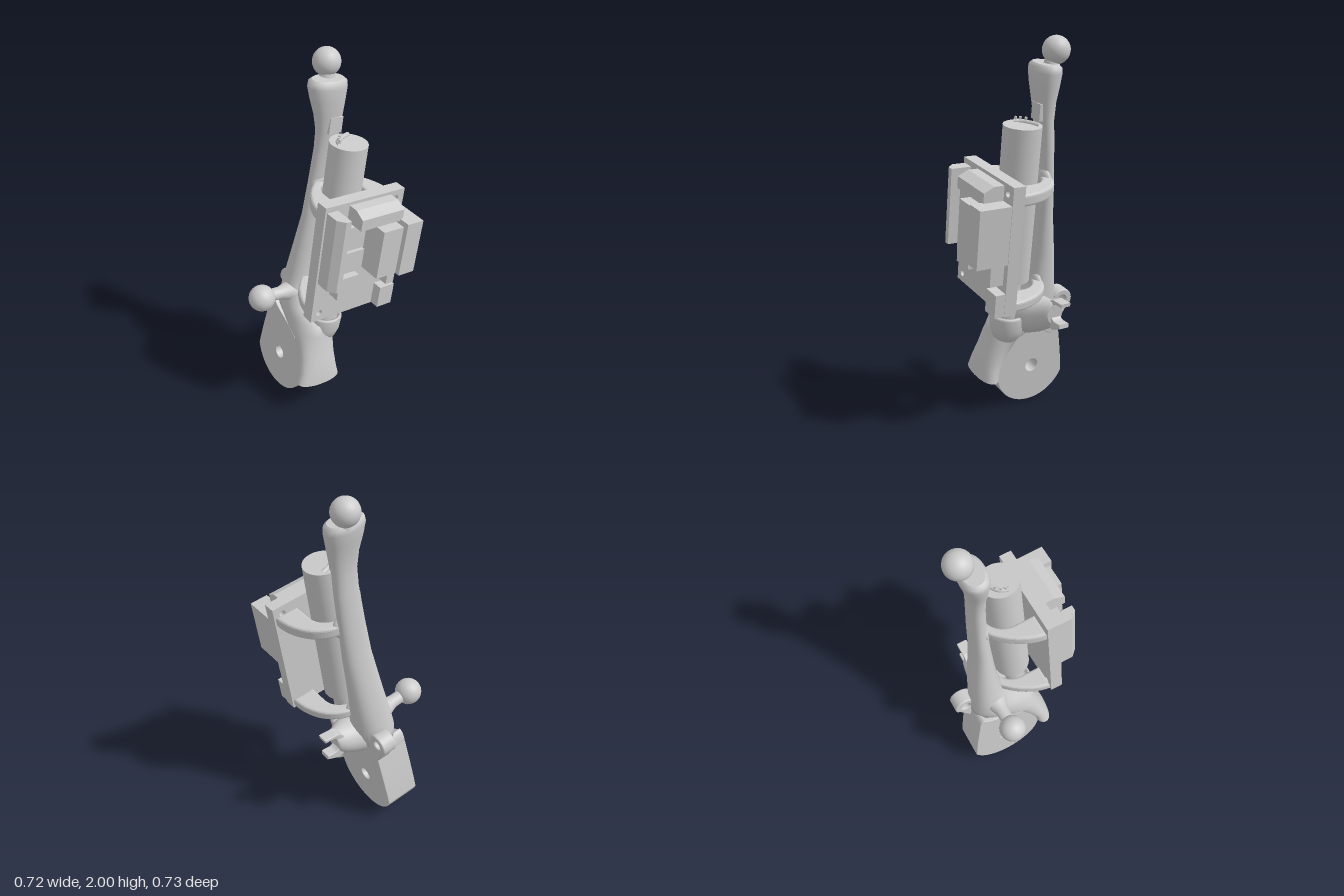
import * as THREE from 'three';

const grey = new THREE.MeshStandardMaterial({ color: 0xcccccc });

function add(parent, name, geometry, x = 0, y = 0, z = 0) {
  const mesh = new THREE.Mesh(geometry, grey);
  mesh.name = name;
  mesh.position.set(x, y, z);
  parent.add(mesh);
  return mesh;
}

// Oval rings stacked along y: [y, centre x, centre z, radius x, radius z], closed at both ends.
// A power below 1 makes the rings boxier.
function loft(rings, power = 1, sides = 32) {
  const first = rings[0], last = rings[rings.length - 1];
  const point = (r) => [r[0], r[1], r[2], 0, 0];
  const rows = [point(first), first, ...rings, last, point(last)];
  const bend = (k) => Math.sign(k) * Math.abs(k) ** power;
  const pos = [], idx = [];
  rows.forEach(([y, cx, cz, rx, rz], i) => {
    for (let j = 0; j < sides; j++) {
      const t = (j / sides) * Math.PI * 2;
      pos.push(cx + rx * bend(Math.cos(t)), y, cz + rz * bend(Math.sin(t)));
      if (i === rows.length - 1) continue;
      const a = i * sides + j, b = i * sides + ((j + 1) % sides);
      idx.push(a, a + sides, b, b, a + sides, b + sides);
    }
  });
  const g = new THREE.BufferGeometry();
  g.setAttribute('position', new THREE.Float32BufferAttribute(pos, 3));
  g.setIndex(idx);
  g.computeVertexNormals();
  return g;
}

function extrude(shape, depth, bevel = 0) {
  return new THREE.ExtrudeGeometry(shape, {
    depth: depth - 2 * bevel, curveSegments: 24, bevelEnabled: bevel > 0,
    bevelSize: bevel, bevelThickness: bevel, bevelOffset: -bevel, bevelSegments: 3,
  }).translate(0, 0, bevel);
}

function polygon(points) {
  return new THREE.Shape(points.map(([x, y]) => new THREE.Vector2(x, y)));
}

function punch(shape, x, y, r) {
  shape.holes.push(new THREE.Path().absarc(x, y, r, 0, Math.PI * 2, true));
}

export function createModel() {
  const root = new THREE.Group();
  root.name = 'limbAssembly';
  const limb = new THREE.Group();
  limb.name = 'tiltedLimb';
  limb.rotation.z = -0.14; // the whole limb leans toward its left
  root.add(limb);

  // Spine with a flared head, running down into the front guard
  add(limb, 'spine', loft([
    [0.18, -0.135, 0.105, 0.132, 0.054],
    [0.25, -0.135, 0.09, 0.115, 0.06],
    [0.33, -0.133, 0.055, 0.107, 0.072],
    [0.41, -0.13, 0.015, 0.108, 0.09],
    [0.46, -0.126, -0.045, 0.113, 0.14],
    [0.52, -0.122, -0.1, 0.117, 0.182],
    [0.58, -0.118, -0.138, 0.12, 0.14],
    [0.66, -0.112, -0.168, 0.112, 0.097],
    [0.75, -0.107, -0.17, 0.102, 0.085],
    [0.9, -0.1, -0.165, 0.092, 0.067],
    [1.1, -0.093, -0.15, 0.081, 0.05],
    [1.3, -0.092, -0.144, 0.074, 0.041],
    [1.5, -0.098, -0.13, 0.067, 0.041],
    [1.6, -0.107, -0.124, 0.066, 0.042],
    [1.69, -0.118, -0.121, 0.08, 0.05],
    [1.77, -0.13, -0.125, 0.096, 0.063],
    [1.83, -0.137, -0.128, 0.106, 0.069],
    [1.855, -0.138, -0.129, 0.102, 0.066],
    [1.868, -0.138, -0.129, 0.085, 0.052],
  ], 0.9));
  add(limb, 'spinePad', new THREE.BoxGeometry(0.075, 0.085, 0.03), -0.1, 1.64, -0.084);

  // Ball at the top, on a short neck
  add(limb, 'topNeck', new THREE.CylinderGeometry(0.03, 0.045, 0.06, 20), -0.126, 1.875, -0.155);
  add(limb, 'topBall', new THREE.SphereGeometry(0.07, 24, 16), -0.124, 1.931, -0.174);

  // Ball on the right side, on a tapering arm
  const arm = add(limb, 'sideBallArm', loft([
    [-0.34, -0.643, -0.152, 0.034, 0.034],
    [-0.27, -0.64, -0.152, 0.034, 0.036],
    [-0.22, -0.635, -0.153, 0.05, 0.052],
    [-0.17, -0.625, -0.158, 0.08, 0.085],
    [-0.1, -0.61, -0.165, 0.1, 0.095],
  ]));
  arm.rotation.z = -Math.PI / 2;
  add(limb, 'sideBall', new THREE.SphereGeometry(0.072, 24, 16), -0.383, 0.643, -0.152);

  // Shoulder on the left side, ending in an open clip
  const shoulder = add(limb, 'shoulder', loft([
    [-0.1, -0.54, -0.1, 0.13, 0.13],
    [-0.02, -0.553, -0.11, 0.112, 0.115],
    [0.04, -0.572, -0.125, 0.098, 0.092],
    [0.08, -0.592, -0.138, 0.086, 0.072],
    [0.11, -0.61, -0.147, 0.074, 0.057],
    [0.12, -0.615, -0.15, 0.06, 0.045],
  ]));
  shoulder.rotation.z = -Math.PI / 2;
  const clip = new THREE.Shape();
  clip.moveTo(0.192, 0.705);
  clip.lineTo(0.13, 0.698);
  clip.bezierCurveTo(0.05, 0.7, 0.05, 0.53, 0.13, 0.53);
  clip.lineTo(0.197, 0.565);
  clip.lineTo(0.192, 0.588);
  clip.lineTo(0.145, 0.582);
  clip.bezierCurveTo(0.09, 0.59, 0.09, 0.67, 0.145, 0.68);
  clip.lineTo(0.192, 0.685);
  add(limb, 'clip', extrude(clip, 0.06, 0.005), 0, 0, -0.19);

  // Teardrop foot with a pivot hole, drawn from the side
  const foot = new THREE.Shape();
  foot.moveTo(-0.072, 0.215);
  foot.absarc(0.145, 0.215, 0.217, Math.PI, Math.PI * 2 - 0.35, false);
  foot.bezierCurveTo(0.335, 0.25, 0.305, 0.4, 0.29, 0.47);
  foot.quadraticCurveTo(0.285, 0.53, 0.255, 0.54);
  foot.bezierCurveTo(0.2, 0.47, 0.1, 0.48, 0, 0.39);
  foot.quadraticCurveTo(-0.07, 0.32, -0.072, 0.215);
  punch(foot, 0.145, 0.217, 0.036);
  add(limb, 'foot', extrude(foot, 0.192, 0.004), -0.232, 0, 0).rotation.y = Math.PI / 2;

  // Slanted lug with an eyelet at the back of the foot
  const lug = new THREE.Shape();
  lug.moveTo(-0.055, 0);
  lug.lineTo(-0.055, -0.2);
  lug.lineTo(0.055, -0.2);
  lug.lineTo(0.055, 0);
  lug.absarc(0, 0, 0.062, 0, Math.PI, false);
  punch(lug, 0, 0, 0.026);
  const lugGeometry = extrude(lug, 0.082, 0.008).rotateZ(-0.52);
  add(limb, 'lug', lugGeometry, -0.12, 0.587, -0.305).rotation.y = Math.PI / 2;

  // Canister, its rod and the cup that holds the rod
  const axisX = -0.077, axisZ = 0.015;
  add(limb, 'canister', new THREE.CylinderGeometry(0.097, 0.097, 0.82, 36), axisX, 1.175, axisZ);
  add(limb, 'rod', new THREE.CylinderGeometry(0.058, 0.058, 0.3, 24), axisX, 0.64, axisZ);
  for (const y of [0.6, 0.66]) {
    add(limb, 'rodPin', new THREE.SphereGeometry(0.013, 10, 8), axisX, y, axisZ + 0.057);
  }
  const cup = [[0, 0.38], [0.045, 0.395], [0.075, 0.43], [0.091, 0.48], [0.096, 0.55],
    [0.09, 0.562], [0.078, 0.562], [0.074, 0.51], [0, 0.51]];
  add(limb, 'cup', new THREE.LatheGeometry(cup.map(([r, y]) => new THREE.Vector2(r, y)), 32), axisX, 0, axisZ);

  // Curved connector on the canister's top
  const ridge = new THREE.CatmullRomCurve3([[-0.065, 0.015], [-0.05, -0.02], [-0.01, -0.05], [0.045, -0.07]]
    .map(([x, z]) => new THREE.Vector3(x, 0, z)));
  add(limb, 'connector', new THREE.TubeGeometry(ridge, 16, 0.013, 8), axisX, 1.587, axisZ);
  for (const t of [0.1, 0.3, 0.5]) {
    const p = ridge.getPoint(t);
    add(limb, 'connectorPin', new THREE.CylinderGeometry(0.007, 0.007, 0.02, 10), axisX + p.x, 1.602, axisZ + p.z);
  }

  // Two arched arms joining the spine to the board around the canister
  const arch = new THREE.Shape();
  arch.moveTo(-0.235, -0.128);
  arch.lineTo(-0.11, -0.128);
  arch.lineTo(-0.11, -0.015);
  arch.absarc(0, -0.015, 0.11, Math.PI, 0, true);
  arch.lineTo(0.11, -0.128);
  arch.lineTo(0.235, -0.128);
  arch.bezierCurveTo(0.235, 0, 0.16, 0.15, 0, 0.15);
  arch.bezierCurveTo(-0.1, 0.145, -0.225, -0.01, -0.235, -0.128);
  for (const [name, y, h] of [['upperArm', 1.26, 0.062], ['lowerArm', 0.7, 0.054]]) {
    add(limb, name, extrude(arch, h, 0.014), -0.07, y, 0).rotation.x = -Math.PI / 2;
    const blend = add(limb, name + 'Blend', new THREE.SphereGeometry(1, 24, 14), -0.08, y + h / 2, -0.122);
    blend.scale.set(0.085, 0.075, 0.032);
  }

  // Board with mounting holes
  const board = polygon([[-0.313, 0.693], [0.173, 0.693], [0.173, 1.369], [-0.313, 1.369]]);
  punch(board, 0.122, 1.322, 0.017);
  punch(board, -0.266, 0.74, 0.017);
  add(limb, 'board', extrude(board, 0.066), 0, 0, 0.13);

  // Board components: name, x range, y range, front z
  const chips = [
    ['tallBlock', -0.06, 0.062, 0.985, 1.255, 0.35],
    ['deepBlock', 0.072, 0.17, 0.975, 1.275, 0.367],
    ['upperChip', -0.222, -0.1, 1.135, 1.265, 0.26],
    ['middleChip', -0.21, -0.09, 1.0, 1.12, 0.26],
    ['lowerChip', -0.218, -0.098, 0.845, 0.968, 0.26],
    ['smallChip', 0.09, 0.14, 0.855, 0.965, 0.27],
    ['cornerBlock', 0.078, 0.171, 0.697, 0.82, 0.25],
  ];
  for (const [name, x0, x1, y0, y1, z] of chips) {
    add(limb, name, new THREE.BoxGeometry(x1 - x0, y1 - y0, z - 0.19), (x0 + x1) / 2, (y0 + y1) / 2, (z + 0.19) / 2);
  }

  // Chamfered strip along the right edge and chamfered socket along the upper edge
  const strip = polygon([[-0.302, -0.19], [-0.302, -0.27], [-0.268, -0.305], [-0.238, -0.305], [-0.238, -0.19]]);
  add(limb, 'sideStrip', extrude(strip, 0.405), 0, 0.935, 0).rotation.x = -Math.PI / 2;
  const socket = polygon([[-0.19, 1.265], [-0.305, 1.265], [-0.305, 1.325], [-0.25, 1.352], [-0.19, 1.352]]);
  add(limb, 'topSocket', extrude(socket, 0.258), -0.17, 0, 0).rotation.y = Math.PI / 2;

  return root;
}
